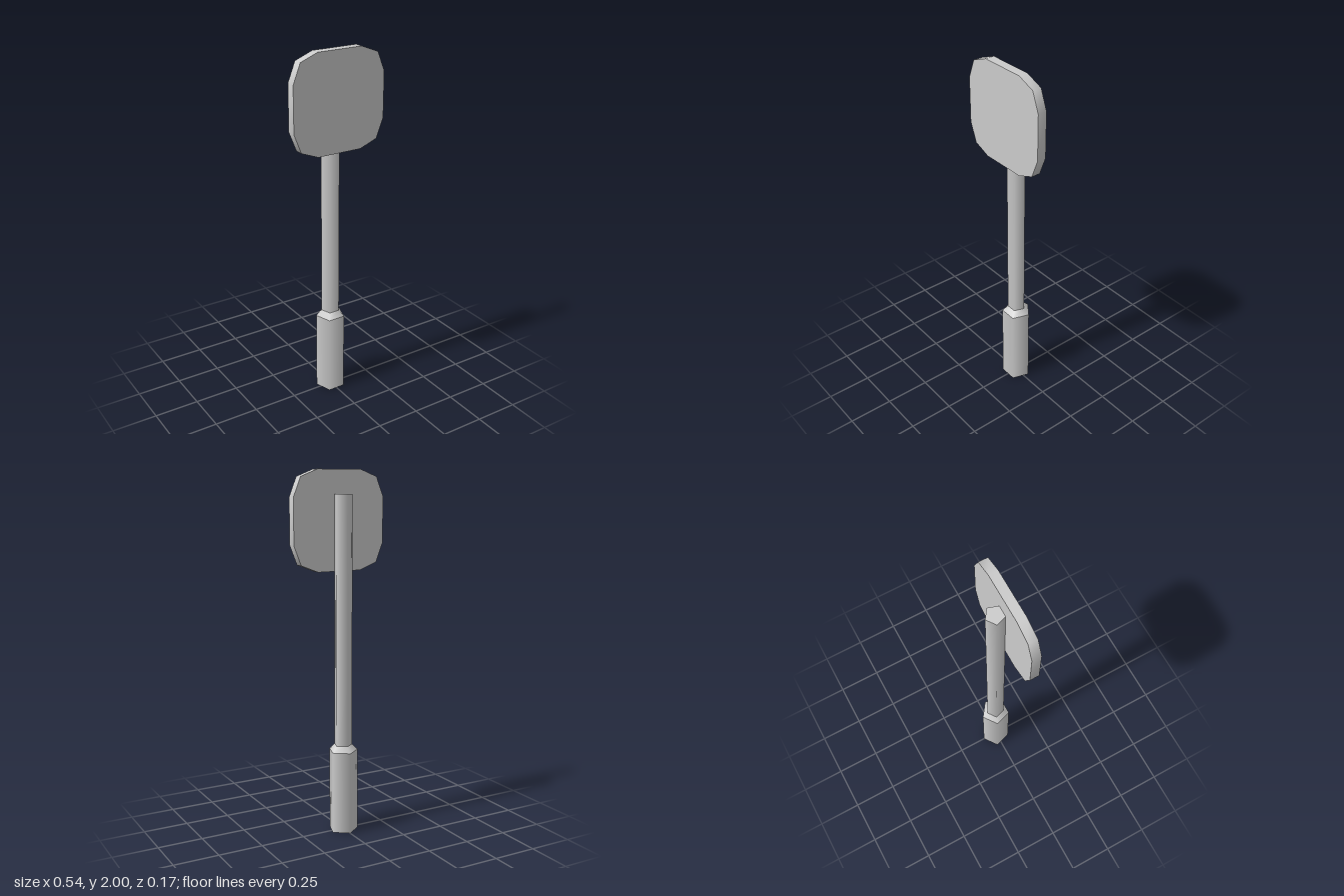
import * as THREE from 'three';
import { toCreasedNormals } from 'three/addons/utils/BufferGeometryUtils.js';

const SIDES = 5;
const AXIS_Z = -0.004;

export function createModel() {
  const group = new THREE.Group();
  const material = new THREE.MeshStandardMaterial({ color: 0xcccccc });

  const add = (name, geometry) => {
    const mesh = new THREE.Mesh(geometry, material);
    mesh.name = name;
    group.add(mesh);
    return mesh;
  };

  // Five-sided section of the post, with one corner pointing to the back
  const section = (name, rBottom, rTop, y0, y1, open) => {
    const geometry = new THREE.CylinderGeometry(rTop, rBottom, y1 - y0, SIDES, 1, open, Math.PI);
    add(name, geometry).position.set(0, (y0 + y1) / 2, AXIS_Z);
  };

  // Thick base sleeve with closed foot, tapered shoulder, slim pole
  section('baseSleeve', 0.083, 0.083, 0, 0.465, false);
  section('shoulder', 0.083, 0.051, 0.465, 0.497, true);
  section('pole', 0.051, 0.051, 0.497, 1.87, false);

  // Sign plate: a square with two-step cut corners, mirrored from one quadrant
  const quadrant = [[0.272, 0.125], [0.23, 0.231], [0.13, 0.27]];
  const mirror = ([x, y]) => [-x, y];
  const upper = [...quadrant, ...quadrant.map(mirror).reverse()];
  const outline = [...upper, ...upper.map(([x, y]) => [-x, -y])];
  const shape = new THREE.Shape(outline.map(([x, y]) => new THREE.Vector2(x, y)));
  const plate = new THREE.ExtrudeGeometry(shape, { depth: 0.051, bevelEnabled: false });
  add('signPlate', toCreasedNormals(plate, Math.PI / 3)).position.set(0, 1.73, 0.035);

  return group;
}
